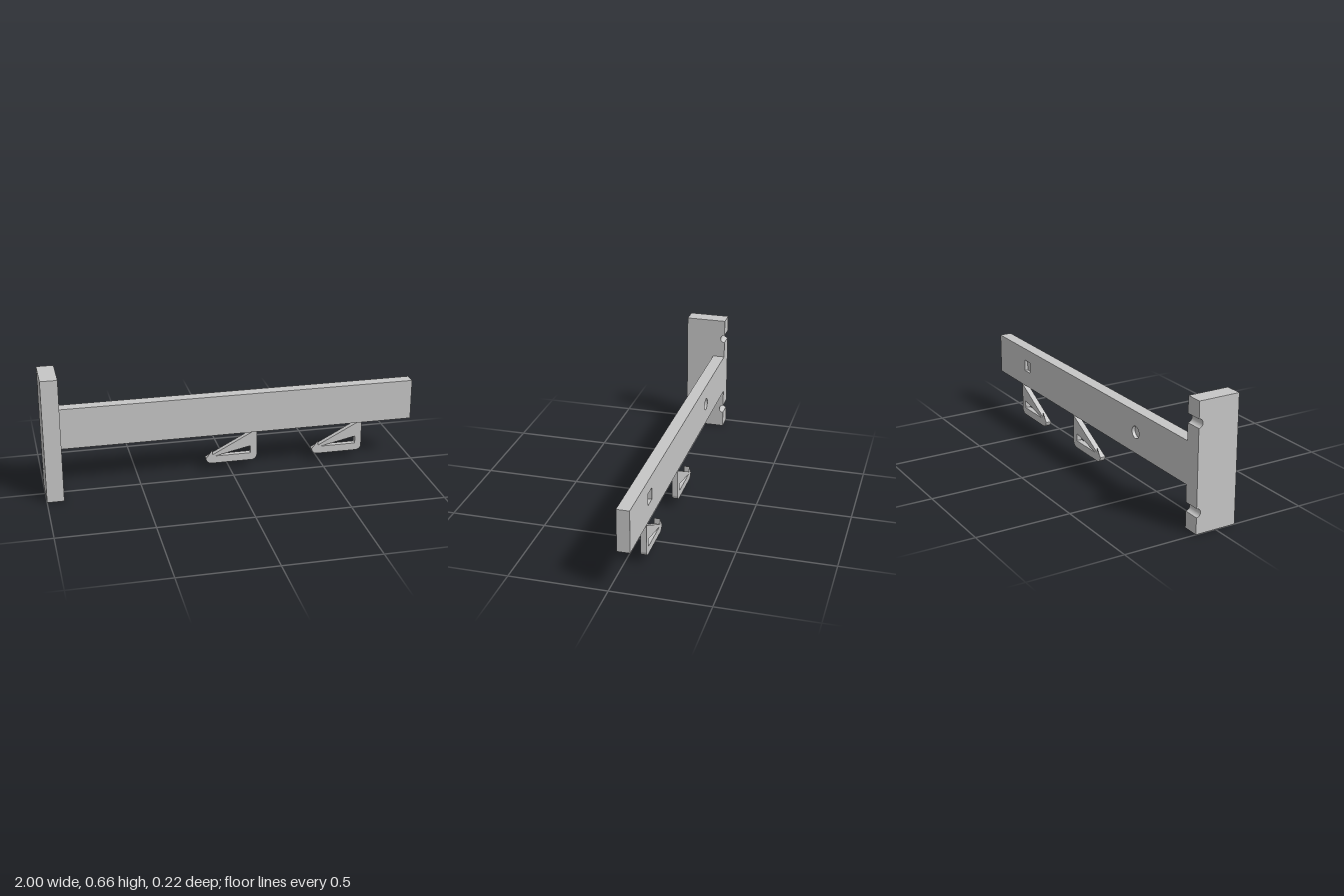
import * as THREE from 'three';

const BACK = -0.11;       // rear plane shared by all parts
const POCKET = 0.018;     // depth of the blind rear pockets
const BAR = { x0: -0.912, x1: 1, y0: 0.221, y1: 0.441, front: -0.045 };
const POST = { height: 0.661, half: 0.11, width: 0.088 };
const TAB = { half: 0.14, bottom: 0.045, radius: 0.03, thickness: 0.03 };

// Rectangle centred at x, y with rounded corners, used for outlines and holes
function roundedRect(path, x, y, w, h, r) {
  const a = w / 2 - r, b = h / 2 - r;
  path.absarc(x + a, y + b, r, 0, Math.PI / 2, false);
  path.absarc(x - a, y + b, r, Math.PI / 2, Math.PI, false);
  path.absarc(x - a, y - b, r, Math.PI, Math.PI * 1.5, false);
  path.absarc(x + a, y - b, r, Math.PI * 1.5, Math.PI * 2, false);
  path.closePath();
  return path;
}

// Square-cornered rectangle between two corners
function rect(path, x0, y0, x1, y1) {
  path.moveTo(x0, y0);
  path.lineTo(x1, y0);
  path.lineTo(x1, y1);
  path.lineTo(x0, y1);
  path.closePath();
  return path;
}

function extrude(shape, depth) {
  return new THREE.ExtrudeGeometry(shape, { depth, bevelEnabled: false, curveSegments: 16 });
}

export function createModel() {
  const model = new THREE.Group();
  const grey = new THREE.MeshStandardMaterial({ color: 0xc6c6c6 });
  grey.name = 'plain light grey';

  const add = (name, geometry, x, y, z) => {
    const mesh = new THREE.Mesh(geometry, grey);
    mesh.name = name;
    mesh.position.set(x, y, z);
    model.add(mesh);
    return mesh;
  };

  // Rear layer of the bar, pierced by a square and a round pocket
  const rear = rect(new THREE.Shape(), BAR.x0, BAR.y0, BAR.x1, BAR.y1);
  rear.holes.push(rect(new THREE.Path(), 0.637, 0.311, 0.699, 0.373));
  const round = new THREE.Path();
  round.absarc(-0.47, 0.331, 0.032, 0, Math.PI * 2, true);
  rear.holes.push(round);
  add('barRearLayer', extrude(rear, POCKET), 0, 0, BACK);

  // Solid front layer of the bar, which also closes the pockets
  const barDepth = BAR.front - BACK - POCKET;
  add('bar', new THREE.BoxGeometry(BAR.x1 - BAR.x0, BAR.y1 - BAR.y0, barDepth),
    (BAR.x0 + BAR.x1) / 2, (BAR.y0 + BAR.y1) / 2, BAR.front - barDepth / 2);

  // Slotted tabs hanging flush with the rear of the bar
  const tab = new THREE.Shape();
  tab.moveTo(-TAB.half, BAR.y0);
  tab.absarc(-TAB.half + TAB.radius, TAB.bottom + TAB.radius, TAB.radius, Math.PI, Math.PI * 1.5, false);
  tab.absarc(TAB.half - TAB.radius, TAB.bottom + TAB.radius, TAB.radius, -Math.PI / 2, 0, false);
  tab.lineTo(TAB.half, BAR.y0);
  tab.closePath();
  tab.holes.push(roundedRect(new THREE.Path(), 0, 0.106, 0.21, 0.041, 0.004));
  for (const x of [0.007, 0.595]) add('slottedTab', extrude(tab, TAB.thickness), x, 0, BACK);

  // Upright end post with two half-round grooves across its rear face
  const post = new THREE.Shape();
  post.moveTo(-POST.half, 0);
  post.lineTo(POST.half, 0);
  for (const y of [0.109, 0.552]) {
    post.absarc(POST.half, y, 0.0225, -Math.PI / 2, Math.PI / 2, true);
  }
  post.lineTo(POST.half, POST.height);
  post.lineTo(-POST.half, POST.height);
  post.closePath();
  add('endPost', extrude(post, POST.width), -1, 0, 0).rotation.y = Math.PI / 2;

  return model;
}
